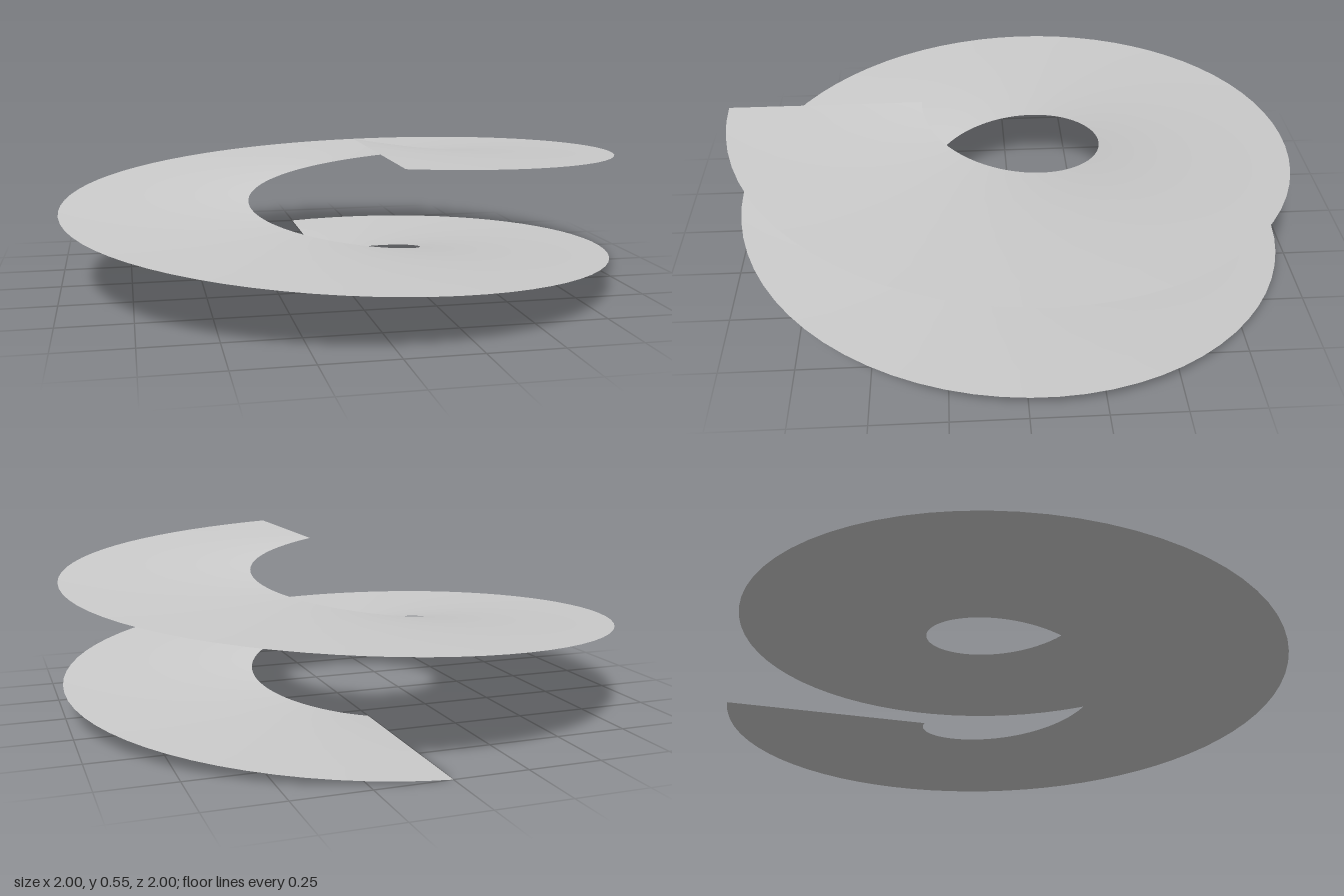
import * as THREE from 'three';

const INNER = 0.32, OUTER = 1, HEIGHT = 0.55;
const SWEEP = 3 * Math.PI; // one and a half turns
const SEGMENTS = 108;

export function createModel() {
  const group = new THREE.Group();
  group.name = 'spiralRamp';

  // Flat ring swept past a full turn, laid down and lowered along its sweep
  const geometry = new THREE.RingGeometry(INNER, OUTER, SEGMENTS, 6, 0, SWEEP);
  const p = geometry.attributes.position;
  for (let i = 0; i < p.count; i++) {
    const t = (i % (SEGMENTS + 1)) / SEGMENTS;
    p.setXYZ(i, p.getY(i), HEIGHT * (1 - t), p.getX(i));
  }
  geometry.computeVertexNormals();

  // Thin open sheet, visible from above and below
  const material = new THREE.MeshStandardMaterial({ color: 0xcccccc, side: THREE.DoubleSide });
  const sheet = new THREE.Mesh(geometry, material);
  sheet.name = 'helicalSheet';
  group.add(sheet);
  return group;
}
